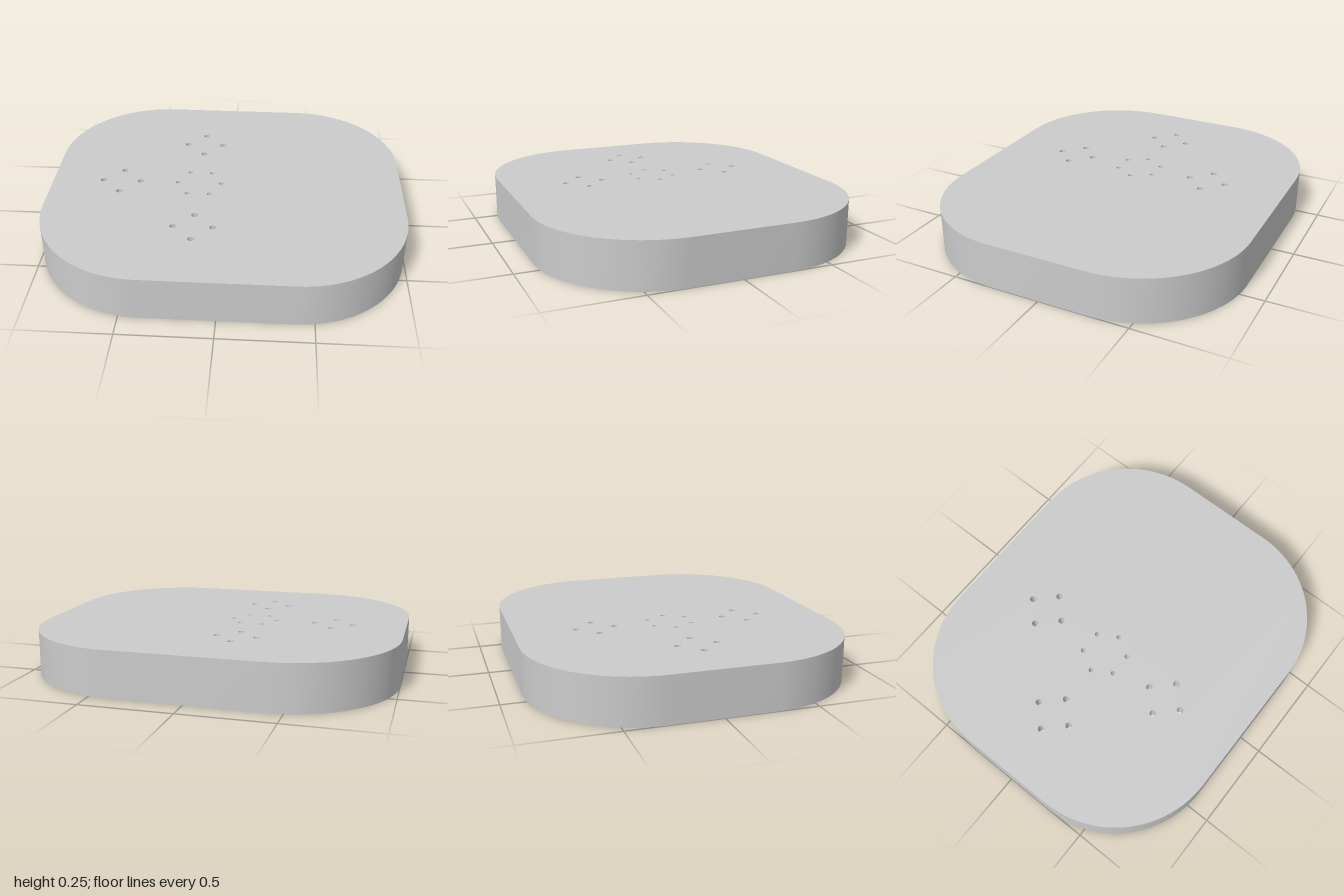
import * as THREE from 'three';
import { toCreasedNormals } from 'three/addons/utils/BufferGeometryUtils.js';

const HALF_X = 1, HALF_Z = 0.875, HEIGHT = 0.25, CORNER = 0.6;
const SEGMENTS = 12; // arcs get twice as many sides

// Rounded rectangle, counter-clockwise
function outline() {
  const s = new THREE.Shape();
  const x = HALF_X - CORNER, z = HALF_Z - CORNER;
  s.absarc(x, z, CORNER, 0, Math.PI / 2);
  s.absarc(-x, z, CORNER, Math.PI / 2, Math.PI);
  s.absarc(-x, -z, CORNER, Math.PI, Math.PI * 1.5);
  s.absarc(x, -z, CORNER, Math.PI * 1.5, Math.PI * 2);
  s.closePath();
  return s;
}

// Holes evenly spaced on a circle
function holeRing(cx, cz, ringRadius, count, radius, depth) {
  return Array.from({ length: count }, (_, i) => {
    const a = (i / count) * Math.PI * 2;
    return { x: cx + ringRadius * Math.cos(a), z: cz + ringRadius * Math.sin(a), radius, depth };
  });
}

// Upright band following the outline
function wallGeometry(shape) {
  const pts = shape.getPoints(SEGMENTS);
  const positions = [], index = [];
  pts.forEach((p, i) => {
    positions.push(p.x, 0, -p.y, p.x, HEIGHT, -p.y);
    if (i === 0 || p.distanceTo(pts[i - 1]) < 1e-6) return;
    const a = 2 * (i - 1), b = 2 * i;
    index.push(a, b, b + 1, a, b + 1, a + 1);
  });
  const g = new THREE.BufferGeometry();
  g.setAttribute('position', new THREE.Float32BufferAttribute(positions, 3));
  g.setIndex(index);
  return toCreasedNormals(g, 0.6);
}

// Blind drilled hole: straight bore with a conical tip, facing inward
function boreGeometry(radius, depth) {
  const profile = [
    new THREE.Vector2(radius, 0),
    new THREE.Vector2(radius, -depth),
    new THREE.Vector2(0, -depth - radius * 0.6),
  ];
  return toCreasedNormals(new THREE.LatheGeometry(profile, SEGMENTS * 2), 0.6);
}

export function createModel() {
  const group = new THREE.Group();
  const material = new THREE.MeshStandardMaterial({ color: 0xcccccc });
  const add = (name, geometry, parent = group) => {
    const mesh = new THREE.Mesh(geometry, material);
    mesh.name = name;
    parent.add(mesh);
    return mesh;
  };

  // Three four-hole mounts around a central six-hole ring
  const holes = [
    ...holeRing(-0.153, -0.427, 0.107, 4, 0.018, 0.1),
    ...holeRing(-0.153, 0.424, 0.107, 4, 0.018, 0.1),
    ...holeRing(-0.602, 0, 0.107, 4, 0.018, 0.1),
    ...holeRing(-0.153, 0, 0.125, 6, 0.0135, 0.1),
  ];

  // Top face, pierced by the holes
  const topShape = outline();
  for (const h of holes) {
    const path = new THREE.Path();
    path.absarc(h.x, -h.z, h.radius, 0, Math.PI * 2, true);
    topShape.holes.push(path);
  }
  add('topFace', new THREE.ShapeGeometry(topShape, SEGMENTS).rotateX(-Math.PI / 2).translate(0, HEIGHT, 0));

  // Solid underside and rounded side wall
  add('bottomFace', new THREE.ShapeGeometry(outline(), SEGMENTS).rotateX(Math.PI / 2));
  add('sideWall', wallGeometry(outline()));

  // Hole interiors
  const bores = new THREE.Group();
  bores.name = 'drilledHoles';
  group.add(bores);
  for (const h of holes) {
    add('drilledHole', boreGeometry(h.radius, h.depth), bores).position.set(h.x, HEIGHT, h.z);
  }
  return group;
}
